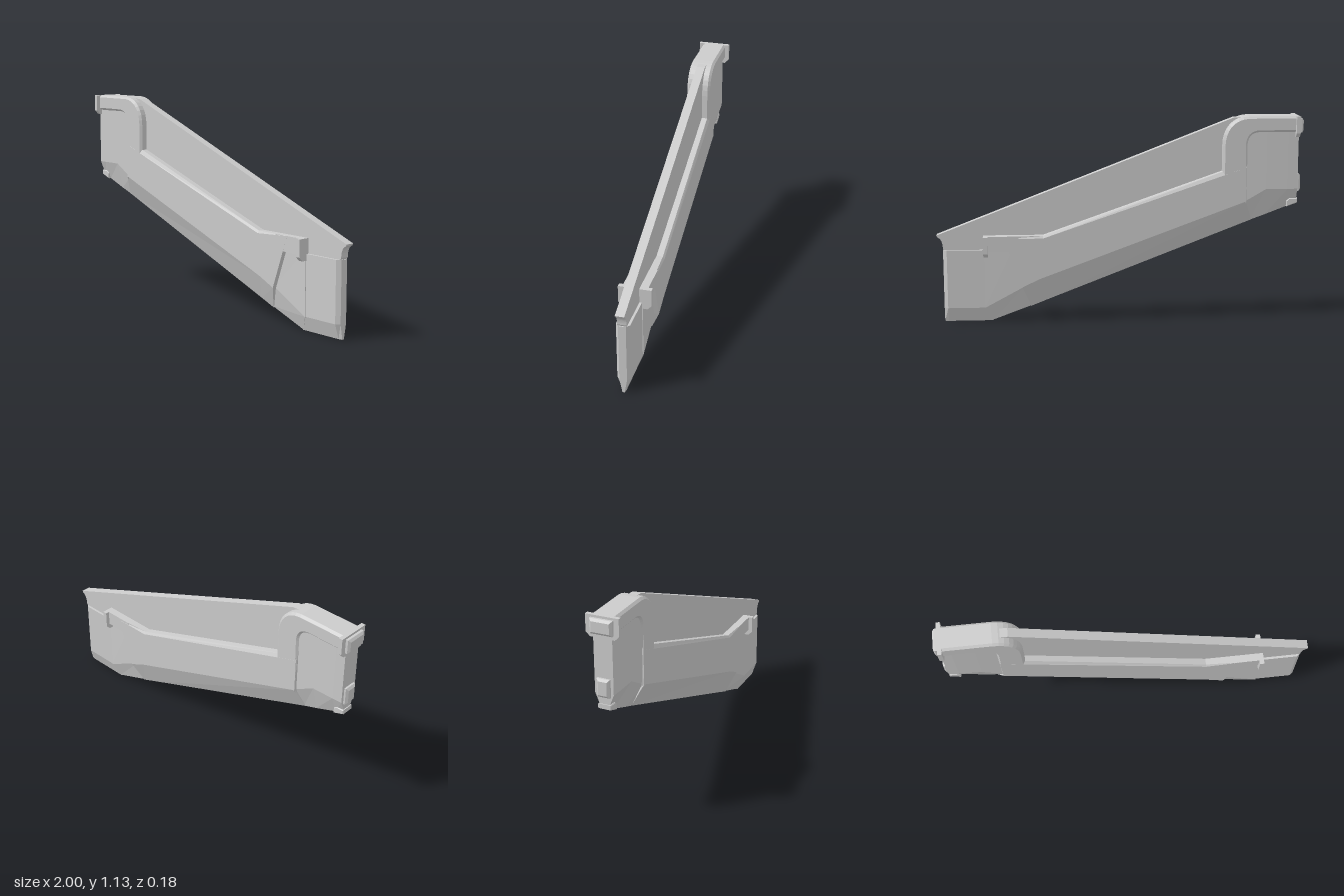
import * as THREE from 'three';

const material = new THREE.MeshStandardMaterial({ color: 0xcccccc, flatShading: true, side: THREE.DoubleSide });

// Lofts columns along x; each column lists [x, y, halfWidth] from bottom to top, mirrored in z.
function loft(columns) {
  const rings = columns.map((c) => [
    ...c.map(([x, y, w]) => [x, y, w]),
    ...c.slice().reverse().map(([x, y, w]) => [x, y, -w]),
  ]);
  const n = rings[0].length, pos = [];
  const tri = (a, b, c) => pos.push(...a, ...b, ...c);
  for (let i = 0; i < rings.length - 1; i++) {
    for (let j = 0; j < n; j++) {
      const k = (j + 1) % n, A = rings[i], B = rings[i + 1];
      tri(A[j], B[j], B[k]);
      tri(A[j], B[k], A[k]);
    }
  }
  const first = rings[0], last = rings[rings.length - 1];
  for (let j = 0; j < n / 2 - 1; j++) {
    const k = n - 1 - j;
    tri(first[j], first[j + 1], first[k - 1]);
    tri(first[j], first[k - 1], first[k]);
    tri(last[j], last[k - 1], last[j + 1]);
    tri(last[j], last[k], last[k - 1]);
  }
  const g = new THREE.BufferGeometry();
  g.setAttribute('position', new THREE.Float32BufferAttribute(pos, 3));
  g.computeVertexNormals();
  return g;
}

// Extrudes a side outline symmetrically about z = 0.
function slab(shape, half, bevel = 0) {
  const g = new THREE.ExtrudeGeometry(shape, {
    depth: 2 * (half - bevel), curveSegments: 8, bevelEnabled: bevel > 0,
    bevelThickness: bevel, bevelSize: bevel, bevelOffset: -bevel, bevelSegments: 1,
  });
  return g.translate(0, 0, -(half - bevel));
}

const outline = (pts) => new THREE.Shape(pts.map(([x, y]) => new THREE.Vector2(x, y)));

export function createModel() {
  const group = new THREE.Group();
  const add = (name, geometry) => {
    const mesh = new THREE.Mesh(geometry, material);
    mesh.name = name;
    group.add(mesh);
    return mesh;
  };

  // Sloping main body with chamfered keel and bevelled upper ledge
  add('mainBody', loft([
    [[-0.73, 0.555, 0.015], [-0.69, 0.665, 0.067], [-0.69, 0.852, 0.067], [-0.69, 0.876, 0.055]],
    [[0.40, 0.116, 0.015], [0.44, 0.245, 0.067], [0.42, 0.472, 0.067], [0.42, 0.485, 0.058]],
    [[0.49, 0.08, 0.015], [0.535, 0.2, 0.067], [0.63, 0.472, 0.067], [0.635, 0.485, 0.067]],
  ]));

  // Curved arm over the high end
  const arm = new THREE.Shape();
  arm.moveTo(-0.975, 1.13);
  arm.lineTo(-0.70, 1.13);
  arm.bezierCurveTo(-0.61, 1.125, -0.56, 1.06, -0.56, 0.97);
  arm.lineTo(-0.56, 0.79);
  arm.lineTo(-0.695, 0.64);
  arm.lineTo(-0.695, 0.97);
  arm.quadraticCurveTo(-0.695, 1.04, -0.76, 1.043);
  arm.lineTo(-0.975, 1.043);
  add('upperArm', slab(arm, 0.0668, 0.012));

  // Recessed panel below the arm
  add('highEndPanel', loft([
    [[-0.975, 0.65, 0.018], [-0.975, 0.73, 0.05], [-0.975, 1.06, 0.05]],
    [[-0.92, 0.628, 0.018], [-0.92, 0.73, 0.053], [-0.92, 1.06, 0.053]],
    [[-0.80, 0.582, 0.018], [-0.80, 0.73, 0.056], [-0.80, 1.06, 0.056]],
    [[-0.72, 0.552, 0.015], [-0.68, 0.66, 0.056], [-0.68, 1.06, 0.056]],
  ]));

  // Small stepped catch at the lower corner
  add('cornerCatch', slab(outline([
    [-0.98, 0.65], [-0.92, 0.628], [-0.92, 0.66], [-0.935, 0.675], [-0.98, 0.675],
  ]), 0.036, 0.004));

  // Recessed panel at the low end
  add('lowEndPanel', loft([
    [[0.48, 0.086, 0.012], [0.52, 0.2, 0.042], [0.58, 0.42, 0.042]],
    [[0.705, 0.002, 0.011], [0.742, 0.08, 0.041], [0.742, 0.42, 0.041]],
  ]));

  // Blade-like end with a narrowed edge
  add('endBlade', loft([
    [[0.70, 0, 0.01], [0.735, 0.08, 0.037], [0.735, 0.405, 0.037]],
    [[0.945, 0, 0.01], [0.945, 0.08, 0.037], [0.945, 0.405, 0.037]],
    [[0.966, 0, 0.006], [0.966, 0.08, 0.02], [0.966, 0.405, 0.02]],
  ]));

  // Rail continuing the ledge to the low clip
  add('lowRail', slab(outline([
    [0.57, 0.40], [0.59, 0.402], [0.74, 0.402], [0.74, 0.485], [0.55, 0.485],
  ]), 0.0665));

  // Thin central web with a flared tip
  const web = new THREE.Shape();
  web.moveTo(-0.70, 1.125);
  web.lineTo(-0.62, 1.12);
  web.lineTo(1.0, 0.487);
  web.lineTo(0.995, 0.477);
  web.quadraticCurveTo(0.966, 0.465, 0.966, 0.415);
  web.lineTo(0.955, 0.395);
  web.lineTo(0.45, 0.395);
  web.lineTo(-0.70, 0.78);
  add('centralWeb', slab(web, 0.024));

  // Clips with tapered feet at both ends
  const clip = (name, x, width, top, bottom) => {
    const foot = bottom + 0.022;
    const g = slab(outline([
      [-0.088, top], [-0.088, foot], [-0.066, bottom], [0.066, bottom], [0.088, foot], [0.088, top],
    ]), width / 2);
    add(name, g.rotateY(Math.PI / 2).translate(x, 0, 0));
  };
  clip('highClip', -0.966, 0.022, 1.13, 1.018);
  clip('lowClip', 0.732, 0.025, 0.485, 0.37);

  // End knob and lower nub on the high end
  const nub = (name, y0, y1, half, x0) => add(name, loft([
    [[x0, y0 + 0.012, half - 0.012], [x0, y1 - 0.012, half - 0.012]],
    [[x0 + 0.01, y0, half], [x0 + 0.01, y1, half]],
    [[-0.97, y0, half], [-0.97, y1, half]],
  ]));
  nub('endKnob', 1.04, 1.118, 0.06, -1.0);
  nub('lowerNub', 0.715, 0.812, 0.035, -0.995);

  return group;
}
